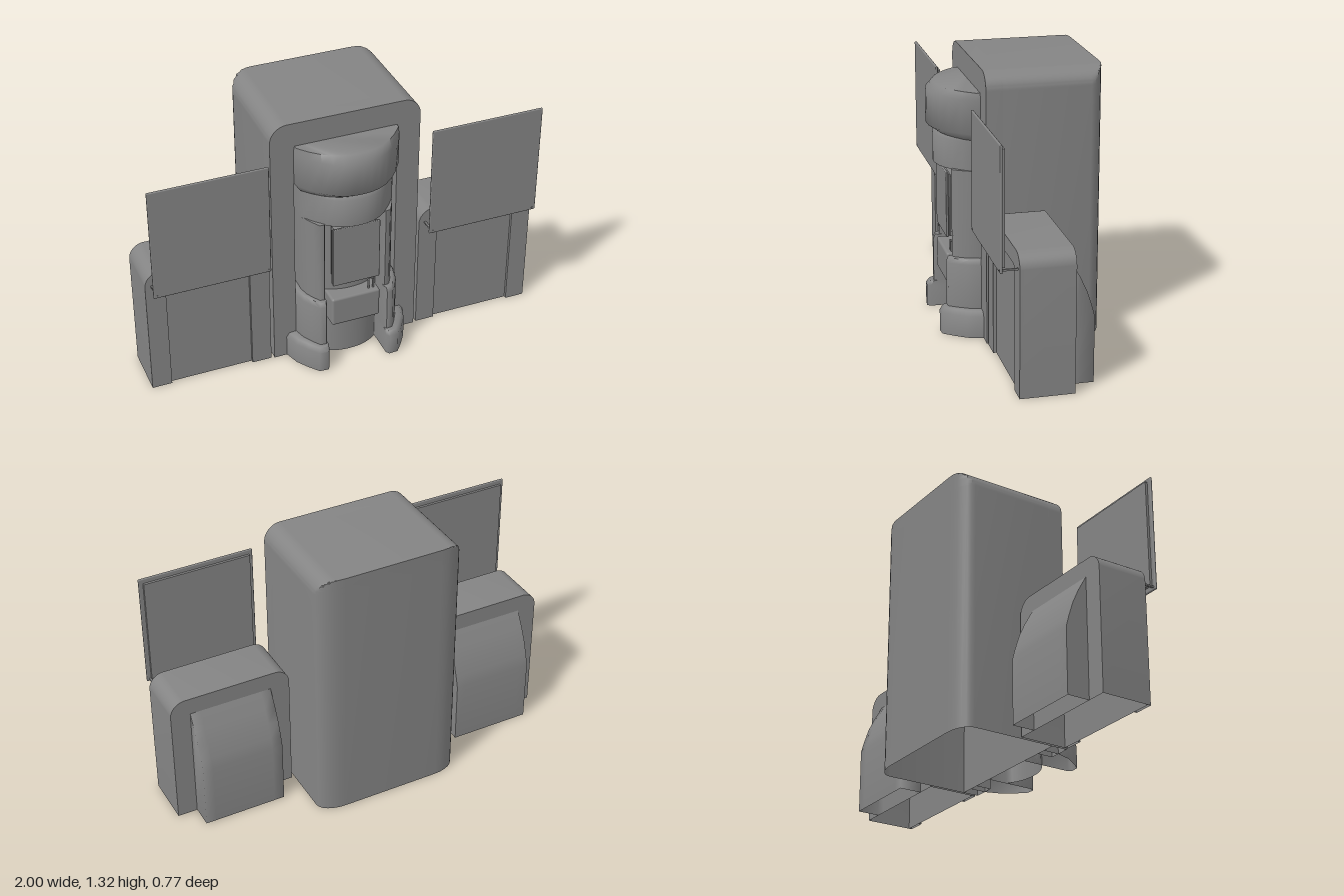
import * as THREE from 'three';
import { toCreasedNormals } from 'three/addons/utils/BufferGeometryUtils.js';
import { RoundedBoxGeometry } from 'three/addons/geometries/RoundedBoxGeometry.js';

const grey = new THREE.MeshStandardMaterial({ color: 0x848484, side: THREE.DoubleSide });

function add(parent, name, geometry, x = 0, y = 0, z = 0) {
  const mesh = new THREE.Mesh(geometry, grey);
  mesh.name = name;
  mesh.position.set(x, y, z);
  parent.add(mesh);
  return mesh;
}

// drop floor-level and collapsed triangles, leaving a hollow shell
function openBottom(geometry, crease = 0.6) {
  const g = geometry.index ? geometry.toNonIndexed() : geometry;
  const p = g.attributes.position, kept = [];
  const tri = new THREE.Triangle();
  for (let i = 0; i < p.count; i += 3) {
    tri.setFromAttributeAndIndices(p, i, i + 1, i + 2);
    if (Math.max(tri.a.y, tri.b.y, tri.c.y) < 1e-4 || tri.getArea() < 1e-7) continue;
    for (const v of [tri.a, tri.b, tri.c]) kept.push(v.x, v.y, v.z);
  }
  const out = new THREE.BufferGeometry();
  out.setAttribute('position', new THREE.Float32BufferAttribute(kept, 3));
  return toCreasedNormals(out, crease);
}

// upright outline with rounded top corners, optionally with a doorway cut up from the floor
function arch(w, h, r, door) {
  const s = new THREE.Shape();
  s.moveTo(w, 0);
  s.lineTo(w, h - r);
  s.absarc(w - r, h - r, r, 0, Math.PI / 2);
  s.absarc(-w + r, h - r, r, Math.PI / 2, Math.PI);
  s.lineTo(-w, 0);
  if (door) {
    s.lineTo(-door.w, 0);
    s.lineTo(-door.w, door.h - 0.02);
    s.lineTo(-door.w + 0.02, door.h);
    s.lineTo(door.w - 0.02, door.h);
    s.lineTo(door.w, door.h - 0.02);
    s.lineTo(door.w, 0);
  }
  return s;
}

function extrude(shape, z0, z1, steps = 1) {
  const g = new THREE.ExtrudeGeometry(shape, { depth: z1 - z0, steps, bevelEnabled: false, curveSegments: 8 });
  return g.translate(0, 0, z0);
}

// skin rows [y, halfWidth, frontZ] with a plan section, capped at the ends
function loft(rows, plan) {
  const pos = [], idx = [];
  const n = plan(rows[0][1], rows[0][2]).length;
  for (const [y, w, zf] of rows) for (const [x, z] of plan(w, zf)) pos.push(x, y, z);
  for (let r = 0; r < rows.length - 1; r++) {
    for (let i = 0; i < n; i++) {
      const a = r * n + i, b = r * n + (i + 1) % n;
      idx.push(a, b, b + n, a, b + n, a + n);
    }
  }
  const top = (rows.length - 1) * n;
  for (let i = 1; i < n - 1; i++) idx.push(0, i + 1, i, top, top + i, top + i + 1);
  const g = new THREE.BufferGeometry();
  g.setAttribute('position', new THREE.Float32BufferAttribute(pos, 3));
  g.setIndex(idx);
  return openBottom(g, 1.1);
}

// bowed front, straight back inside the alcove
function bowPlan(w, zf) {
  const pts = [[-w, 0.1]];
  for (let i = -6; i <= 6; i++) {
    const u = i / 6;
    pts.push([w * u, 0.2 + (zf - 0.2) * (1 - Math.abs(u) ** 2.3)]);
  }
  pts.push([w, 0.1]);
  return pts;
}

// side pillar, slanting back from the inner edge to the outer one
function pillarPlan(w, zf) {
  const pts = [[0, 0], [0, 0.9], [0.08, 1], [0.36, 0.98], [0.62, 0.7], [0.85, 0.4], [1, 0]]
    .map(([u, v]) => [0.15 + (w - 0.15) * u, 0.18 + (zf - 0.18) * v]);
  return [[0.15, 0.1], ...pts, [w, 0.1]];
}

function makeCabinet() {
  const cabinet = new THREE.Group();
  cabinet.name = 'cabinet';

  // shell with rounded rear uprights
  const body = extrude(arch(0.375, 1.32, 0.085), 0, 7, 7);
  const p = body.attributes.position;
  for (let i = 0; i < p.count; i++) {
    const t = Math.round(p.getZ(i));
    const a = Math.min(t / 6, 1) * Math.PI / 2;
    const w = 0.25 + 0.125 * Math.sin(a);
    p.setX(i, THREE.MathUtils.clamp(p.getX(i), -w, w));
    p.setZ(i, t > 6 ? 0.1 : -0.32 - 0.07 * Math.cos(a));
  }
  add(cabinet, 'cabinetShell', openBottom(body));
  add(cabinet, 'frontFrame',
    openBottom(extrude(arch(0.375, 1.32, 0.085, { w: 0.26, h: 1.2 }), 0.1, 0.18)));

  // bowed head over a narrower neck
  add(cabinet, 'head', loft([[0.965, 0.235, 0.335], [1.0, 0.26, 0.385],
    [1.165, 0.26, 0.385], [1.2, 0.255, 0.35]], bowPlan));
  add(cabinet, 'neck', loft([[0.81, 0.23, 0.355], [0.955, 0.23, 0.355], [0.975, 0.23, 0.335]], bowPlan));
  add(cabinet, 'centreColumn', loft([[0, 0.15, 0.25], [0.82, 0.15, 0.25]], bowPlan));

  // stepped pillars with feet
  const rows = [[0, 0.31, 0.365], [0.11, 0.31, 0.365], [0.132, 0.295, 0.35], [0.134, 0.26, 0.33],
    [0.355, 0.26, 0.33], [0.378, 0.25, 0.32], [0.38, 0.23, 0.3], [0.815, 0.23, 0.3]];
  for (const side of [1, -1]) {
    add(cabinet, side > 0 ? 'leftPillar' : 'rightPillar', loft(rows, pillarPlan)).scale.x = side;
  }

  // screen, shelf and two small pegs
  add(cabinet, 'screenMount', new THREE.BoxGeometry(0.2, 0.28, 0.06), 0, 0.62, 0.27);
  add(cabinet, 'screenBack', new THREE.BoxGeometry(0.24, 0.31, 0.008), 0, 0.62, 0.3);
  add(cabinet, 'screen', new RoundedBoxGeometry(0.24, 0.325, 0.012, 2, 0.004), 0, 0.622, 0.313);
  add(cabinet, 'shelf', new RoundedBoxGeometry(0.25, 0.155, 0.12, 3, 0.012), 0, 0.302, 0.26);
  for (const x of [0.075, 0.1]) {
    add(cabinet, 'peg', new THREE.CylinderGeometry(0.005, 0.005, 0.06, 8), x, 0.4, 0.29);
  }
  return cabinet;
}

function makeDesk(name, bulgeCrease) {
  const desk = new THREE.Group();
  desk.name = name;
  add(desk, 'deskBody', openBottom(extrude(arch(0.305, 0.675, 0.075), -0.08, 0.16)));
  add(desk, 'deskFrontFrame',
    openBottom(extrude(arch(0.305, 0.675, 0.075, { w: 0.207, h: 0.595 }), 0.16, 0.175)));

  // sloping bulge on the back
  const s = new THREE.Shape();
  s.moveTo(-0.08, 0);
  s.lineTo(-0.08, 0.59);
  s.lineTo(-0.125, 0.51);
  s.lineTo(-0.155, 0.445);
  s.lineTo(-0.178, 0.375);
  s.lineTo(-0.193, 0.32);
  s.lineTo(-0.193, 0);
  add(desk, 'rearBulge',
    openBottom(extrude(s, -0.207, 0.207, 8).rotateY(-Math.PI / 2), bulgeCrease));

  // upright board carried on two thin brackets
  add(desk, 'board', new RoundedBoxGeometry(0.575, 0.578, 0.012, 2, 0.005), 0, 0.878, 0.252);
  add(desk, 'boardBacking', new THREE.BoxGeometry(0.535, 0.535, 0.012), 0, 0.878, 0.238);
  for (const x of [-0.272, 0.272]) {
    add(desk, 'bracket', new THREE.BoxGeometry(0.01, 0.008, 0.09), x, 0.602, 0.215);
  }
  return desk;
}

export function createModel() {
  const model = new THREE.Group();
  model.name = 'kioskWithDesks';
  model.add(makeCabinet());
  // the left desk has a soft-shaded bulge, the right one a crisp bulge
  for (const side of [1, -1]) {
    const desk = side > 0 ? makeDesk('leftDesk', 1.7) : makeDesk('rightDesk', 0.6);
    desk.position.x = side * 0.695;
    model.add(desk);
  }
  return model;
}
